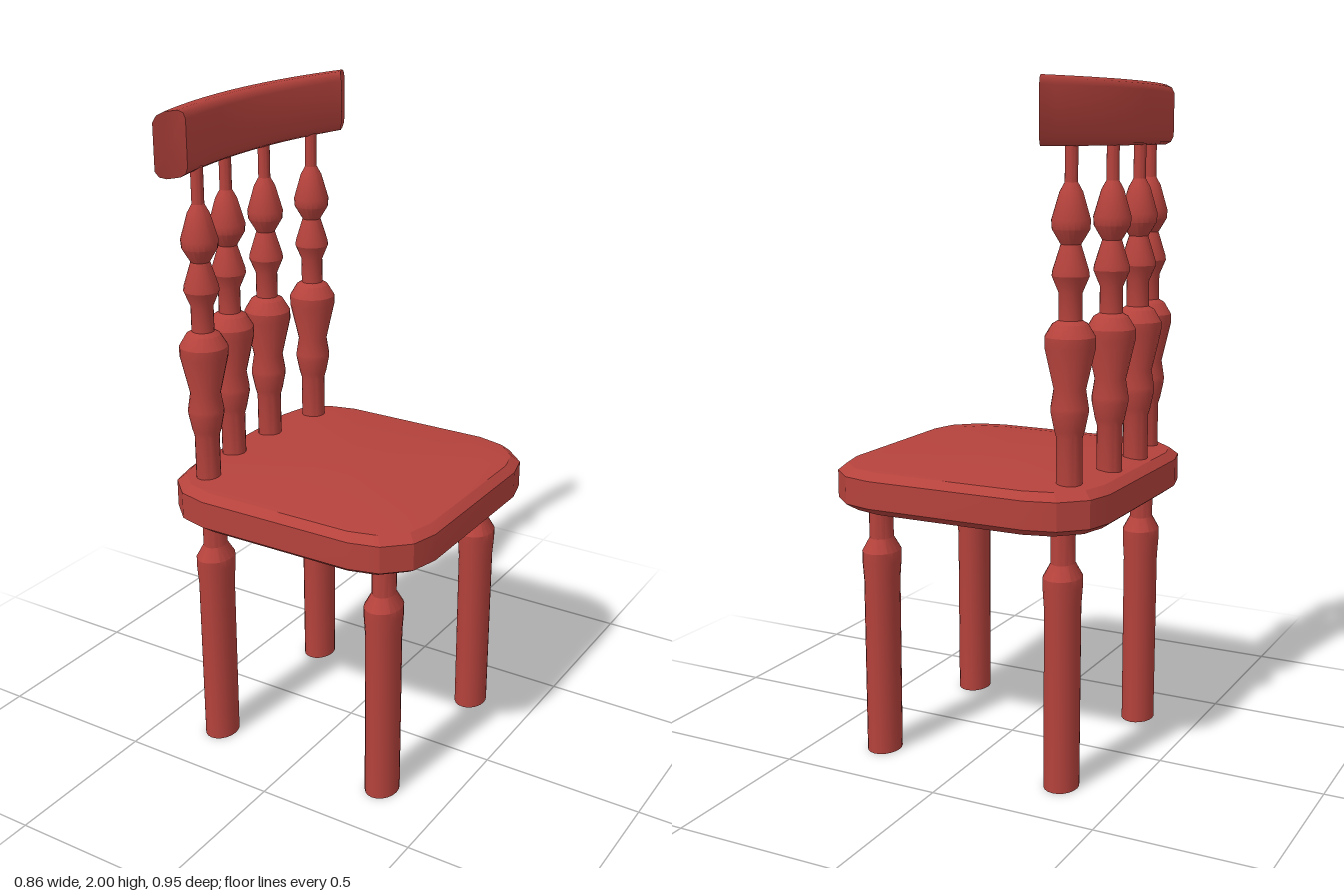
import * as THREE from 'three';
import { toCreasedNormals } from 'three/addons/utils/BufferGeometryUtils.js';

const material = new THREE.MeshStandardMaterial({ color: 0xb5423c });

function part(name, geometry, crease = 0.5) {
  const mesh = new THREE.Mesh(toCreasedNormals(geometry, crease), material);
  mesh.name = name;
  return mesh;
}

// Skin over closed rings of [x, y, z], with a fan cap on both ends
function loft(rings) {
  const n = rings[0].length;
  const last = rings.length - 1;
  const positions = rings.flat(2);
  const index = [];
  for (let i = 0; i < last; i++) {
    for (let j = 0; j < n; j++) {
      const k = (j + 1) % n;
      const a = i * n + j, b = i * n + k;
      index.push(a, b, b + n, a, b + n, a + n);
    }
  }
  const centre = (ring) => [0, 1, 2].map((c) => ring.reduce((s, p) => s + p[c], 0) / n);
  positions.push(...centre(rings[0]), ...centre(rings[last]));
  const c0 = rings.length * n, c1 = c0 + 1;
  for (let j = 0; j < n; j++) {
    const k = (j + 1) % n;
    index.push(c0, k, j, c1, last * n + j, last * n + k);
  }
  const geometry = new THREE.BufferGeometry();
  geometry.setAttribute('position', new THREE.Float32BufferAttribute(positions, 3));
  geometry.setIndex(index);
  return geometry;
}

// Turned part from [radius, height] pairs
function turned(profile) {
  return new THREE.LatheGeometry(profile.map(([r, y]) => new THREE.Vector2(r, y)), 20);
}

// Seat: rounded-corner outline, bevelled below and gently crowned on top
function createSeat() {
  const corner = [[0.432, 0.25], [0.41, 0.335], [0.34, 0.402], [0.25, 0.425]];
  const flipped = [...corner].reverse();
  const outline = [
    ...corner.map(([x, z]) => [x, -z]),
    ...flipped.map(([x, z]) => [-x, -z]),
    ...corner.map(([x, z]) => [-x, z]),
    ...flipped,
  ];
  const levels = [[0.768, 0.93], [0.79, 1], [0.872, 1], [0.894, 0.945], [0.902, 0.79]];
  return part('seat', loft(levels.map(([y, s]) => outline.map(([x, z]) => [x * s, y, z * s]))), 0.3);
}

// Top rail: a bowed bar with slanted ends; t runs from its front face to its back
function createTopRail() {
  const section = [
    [0, -0.065], [0, 0.065], [0.1, 0.082], [0.3, 0.09], [0.7, 0.09], [0.9, 0.082],
    [1, 0.065], [1, -0.065], [0.9, -0.082], [0.7, -0.09], [0.3, -0.09], [0.1, -0.082],
  ];
  const rings = [];
  for (let i = 0; i <= 16; i++) {
    const v = i / 8 - 1;
    rings.push(section.map(([t, y]) => {
      const front = -0.32 + 0.043 * v * v;
      const back = -0.39 + 0.07 * v * v;
      return [front + (back - front) * t, 1.91 + y, v * (0.39 + 0.087 * t ** 1.4)];
    }));
  }
  return part('topRail', loft(rings), 0.7);
}

export function createModel() {
  const chair = new THREE.Group();
  chair.name = 'chair';
  chair.add(createSeat(), createTopRail());

  // Legs, slightly oval in plan
  const leg = turned([
    [0, 0], [0.05, 0], [0.051, 0.54], [0.055, 0.6], [0.055, 0.63],
    [0.034, 0.67], [0.034, 0.79], [0, 0.79],
  ]);
  leg.scale(1, 1, 1.22);
  for (const x of [-0.307, 0.292]) {
    for (const z of [-0.287, 0.293]) {
      const mesh = part('leg', leg);
      mesh.position.set(x, 0, z);
      chair.add(mesh);
    }
  }

  // Turned back spindles, set along the bow of the rail
  const spindle = turned([
    [0, 0.88], [0.037, 0.88], [0.037, 1.03], [0.043, 1.05], [0.053, 1.1], [0.053, 1.115],
    [0.045, 1.165], [0.071, 1.28], [0.071, 1.31], [0.05, 1.345], [0.033, 1.355],
    [0.033, 1.43], [0.052, 1.475], [0.05, 1.49], [0.028, 1.56], [0.052, 1.6],
    [0.054, 1.625], [0.032, 1.7], [0.018, 1.725], [0.018, 1.83], [0, 1.85],
  ]);
  for (const [x, z] of [[-0.313, 0.305], [-0.355, 0.117], [-0.353, -0.075], [-0.322, -0.283]]) {
    const mesh = part('backSpindle', spindle);
    mesh.position.set(x, 0, z);
    chair.add(mesh);
  }
  return chair;
}
